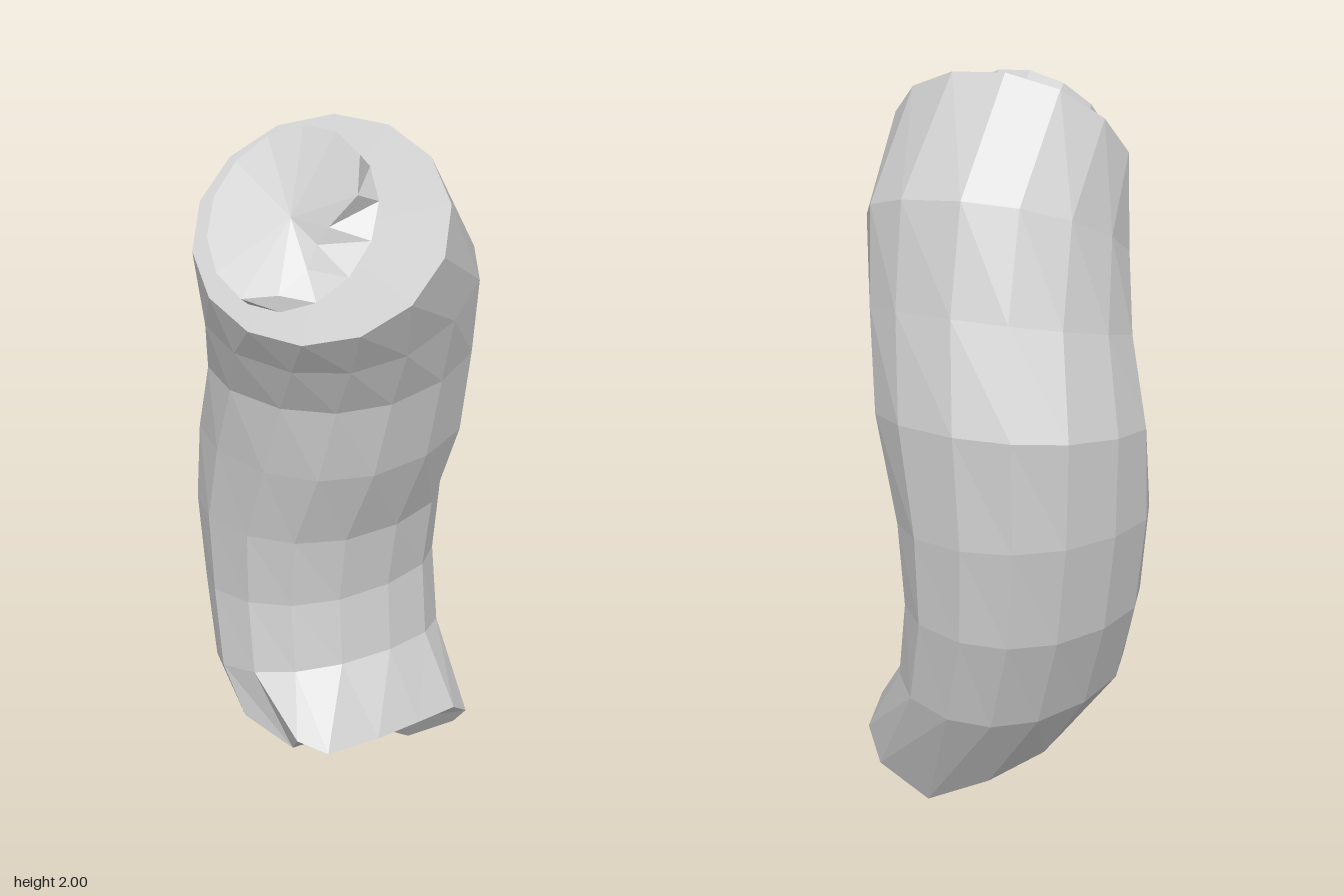
import * as THREE from 'three';

const SIDES = 14;
const vec = (a) => new THREE.Vector3(...a);

// Rounded section from a centre and two half axes: u towards +x, v towards the front.
// A power below 1 fills out the corners of the ellipse.
function ring(c, u, v, power = 1) {
  const full = (n) => Math.sign(n) * Math.abs(n) ** power;
  return Array.from({ length: SIDES }, (_, j) => {
    const t = (j / SIDES) * Math.PI * 2;
    return vec(c).addScaledVector(vec(u), full(Math.cos(t))).addScaledVector(vec(v), full(Math.sin(t)));
  });
}

// Skin rings from top to bottom; a one-point ring closes an end
function loft(name, rings, material) {
  const pos = [];
  const tri = (a, b, c) => {
    if (a !== b && b !== c && a !== c) pos.push(...a.toArray(), ...b.toArray(), ...c.toArray());
  };
  for (let i = 0; i < rings.length - 1; i++) {
    const at = (r, j) => r[j % r.length];
    for (let j = 0; j < SIDES; j++) {
      const a = at(rings[i], j), b = at(rings[i], j + 1);
      const c = at(rings[i + 1], j), d = at(rings[i + 1], j + 1);
      tri(a, b, c);
      tri(b, d, c);
    }
  }
  const geometry = new THREE.BufferGeometry();
  geometry.setAttribute('position', new THREE.Float32BufferAttribute(pos, 3));
  geometry.computeVertexNormals();
  const mesh = new THREE.Mesh(geometry, material);
  mesh.name = name;
  return mesh;
}

export function createModel() {
  const group = new THREE.Group();
  group.name = 'curvedRoll';
  const material = new THREE.MeshStandardMaterial({
    color: 0xcccccc, flatShading: true, side: THREE.DoubleSide,
  });

  // Slanted top face
  const topC = [0.105, 1.79, 0.155], topU = [0.3, -0.005, -0.11], topV = [0.045, -0.212, 0.178];

  // Bent body, each section as centre, side axis, front axis
  const sections = [
    [[0.05, 1.59, 0.04], [0.3, -0.015, -0.095], [0.01, -0.12, 0.26]],
    [[-0.01, 1.38, -0.015], [0.303, 0, -0.065], [-0.015, -0.06, 0.275]],
    [[-0.075, 1.14, -0.045], [0.32, 0, -0.04], [-0.015, -0.03, 0.31]],
    [[-0.125, 0.88, -0.045], [0.273, 0, -0.035], [-0.025, 0, 0.315]],
    [[-0.12, 0.64, -0.04], [0.245, 0.03, -0.035], [-0.025, 0.01, 0.312]],
    [[-0.06, 0.41, -0.015], [0.22, 0.06, -0.04], [-0.03, 0.03, 0.315]],
  ].map((s) => ring(...s, 0.9));

  // Irregular pinched lower lip around a shallow hollow end
  const lip = [
    [0.28, 0.31, 0.1], [0.25, 0.33, 0.26], [0.18, 0.36, 0.31], [0.1, 0.25, 0.26],
    [-0.06, 0.29, 0.3], [-0.11, 0.22, 0.22], [-0.14, 0.17, 0.11], [-0.15, 0.15, 0.01],
    [-0.06, 0.08, -0.12], [0.09, 0, -0.21], [0.21, 0.1, -0.28], [0.27, 0.19, -0.265],
    [0.29, 0.26, -0.19], [0.287, 0.285, -0.05],
  ].map(vec);
  const body = [[vec(topC)], ring(topC, topU, topV), ...sections, lip, [vec([0.11, 0.18, -0.01])]];
  group.add(loft('body', body, material));

  // Raised inner coil on the top face, its right side sloping down to the face
  const normal = vec(topV).cross(vec(topU)).normalize();
  const coilC = vec(topC).addScaledVector(vec(topU), -0.17);
  const base = ring(coilC.toArray(), topU.map((n) => n * 0.6), topV.map((n) => n * 0.77));
  const height = [0.035, 0.02, 0.01, 0.025, 0.04, 0.055, 0.065, 0.07, 0.07, 0.07, 0.07, 0.07, 0.07, 0.06];
  const reach = [0.5, 0.45, 0.6, 0.85, 1, 1, 1, 1, 1, 1, 1, 1, 1, 0.85];
  const raised = base.map((p, j) => coilC.clone().lerp(p, reach[j]).addScaledVector(normal, height[j]));
  const middle = coilC.clone().addScaledVector(normal, 0.04);
  group.add(loft('innerCoil', [[middle], raised, base], material));

  return group;
}
